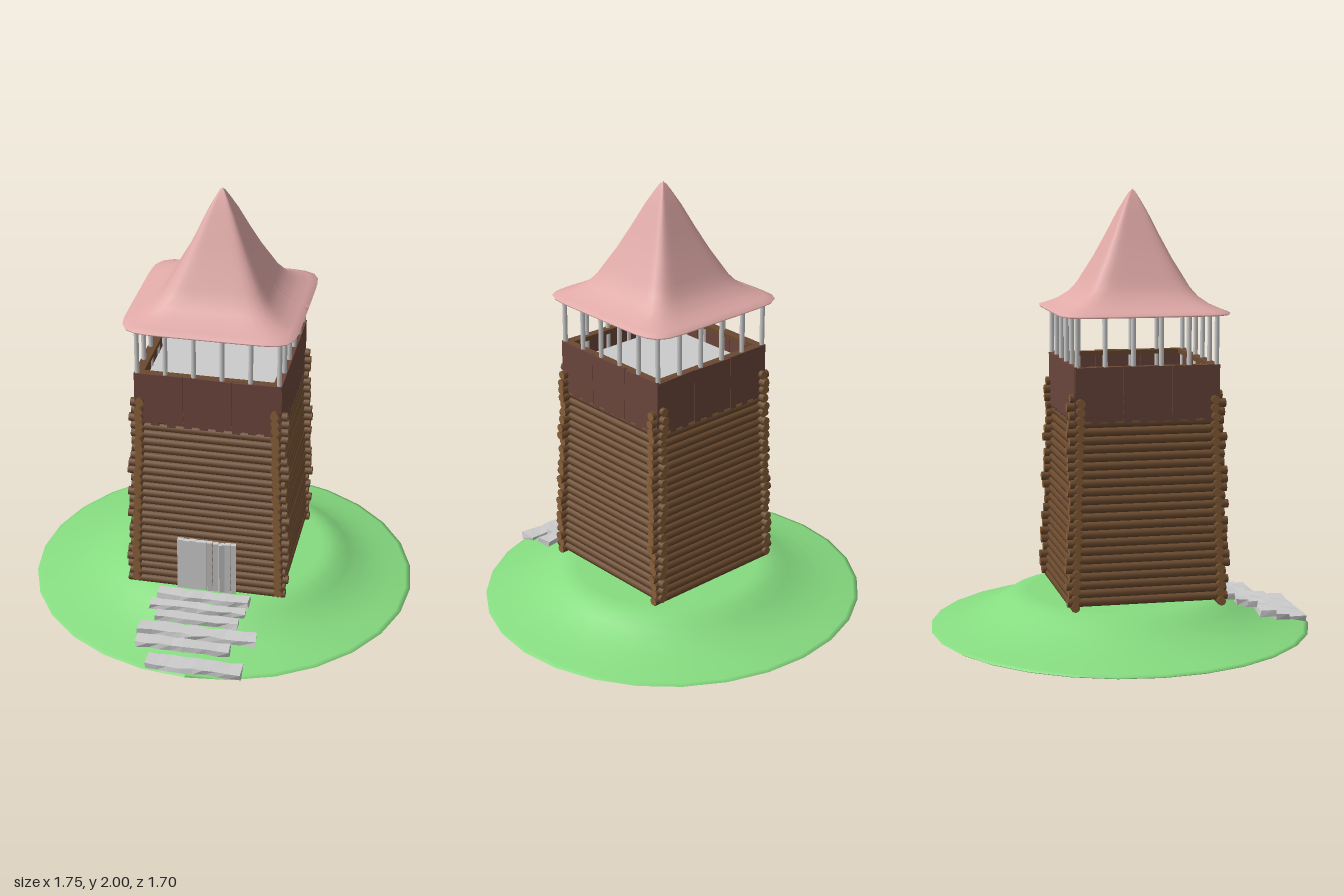
import * as THREE from 'three';

const mat = (color, extra = {}) => new THREE.MeshStandardMaterial({ color, ...extra });
const bark = mat(0x6b4a2e), cutEnd = mat(0x8a6038), plankMat = mat(0x6b463c);
const grey = mat(0xcccccc), greyFlat = mat(0xcccccc, { flatShading: true });
const roofMat = mat(0xdfa9a7, { side: THREE.DoubleSide });
const grass = mat(0x86dc80);

let seed = 7;
const rnd = () => (seed = (seed * 16807) % 2147483647) / 2147483647;
const jitter = a => (rnd() - 0.5) * 2 * a;

function add(parent, name, geo, material, x = 0, y = 0, z = 0) {
  const m = new THREE.Mesh(geo, material);
  m.name = name;
  m.position.set(x, y, z);
  parent.add(m);
  return m;
}

// Four copies of a wall, one per side
function fourSides(parent, name, build) {
  for (let s = 0; s < 4; s++) {
    const side = new THREE.Group();
    side.name = name;
    side.rotation.y = s * Math.PI / 2;
    build(side, s);
    parent.add(side);
  }
}

// Grassy mound with a flat top and a shallow dished underside
function makeHill(parent) {
  const profile = [[0, 0.003], [0.3, 0.008], [0.6, 0.022], [0.8, 0.036], [0.865, 0.043], [0.877, 0.05],
    [0.855, 0.056], [0.78, 0.072], [0.7, 0.093], [0.62, 0.122], [0.56, 0.155], [0.51, 0.182],
    [0.465, 0.196], [0.42, 0.2], [0, 0.2]].map(p => new THREE.Vector2(...p));
  const geo = new THREE.LatheGeometry(profile, 28);
  const p = geo.attributes.position;
  for (let i = 0; i < p.count; i++) {
    const t = Math.max(0, (p.getY(i) - 0.06) / 0.14);
    p.setX(i, p.getX(i) + 0.035 * t);
    p.setZ(i, p.getZ(i) * 0.972);
  }
  geo.computeVertexNormals();
  add(parent, 'hill', geo, grass);
}

// Interlocked log walls, leaning slightly inwards
function makeLogs(parent) {
  const pitch = 0.037, rows = 25;
  fourSides(parent, 'logWall', (side, s) => {
    for (let i = 0; i < rows; i++) {
      const y = 0.215 + i * pitch + (s % 2) * pitch / 2;
      const t = (y - 0.2) / 0.94;
      const half = 0.324 - 0.03 * t;
      const reach = half + 0.036 + 0.012 * t;
      const a = reach + jitter(0.01), b = reach + jitter(0.01);
      const geo = new THREE.CylinderGeometry(0.0195, 0.0195, a + b, 8);
      geo.rotateZ(Math.PI / 2);
      add(side, 'log', geo, [bark, cutEnd, cutEnd], (a - b) / 2, y, half + jitter(0.002));
    }
  });
}

// Wide boards around the lookout, with a ragged lower edge
function makeParapet(parent) {
  const half = 0.318, boards = 3, w = 2 * half / boards;
  fourSides(parent, 'parapet', side => {
    for (let b = 0; b < boards; b++) {
      const x0 = -half + b * w + 0.001, x1 = x0 + w - 0.002;
      const shape = new THREE.Shape();
      shape.moveTo(x0, 1.255 + jitter(0.003));
      const steps = 6;
      for (let k = 0; k < steps; k++) {
        const y = 1.005 + (k % 2) * 0.012 + rnd() * 0.006;
        shape.lineTo(x0 + (x1 - x0) * k / steps, y);
        shape.lineTo(x0 + (x1 - x0) * (k + 1) / steps, y);
      }
      shape.lineTo(x1, 1.255 + jitter(0.003));
      const geo = new THREE.ExtrudeGeometry(shape, { depth: 0.014, bevelEnabled: false });
      add(side, 'board', geo, plankMat, 0, 0, half - 0.012);
    }
    // rail, and five of the posts (the next side supplies the last corner)
    add(side, 'rail', new THREE.BoxGeometry(0.61, 0.02, 0.026), bark, 0, 1.245, half - 0.024);
    for (let k = 0; k < 5; k++)
      add(side, 'post', new THREE.CylinderGeometry(0.0105, 0.0105, 0.33, 8), grey,
        -0.307 + k * 0.1228, 1.315, 0.307);
  });
  add(parent, 'lookoutFloor', new THREE.BoxGeometry(0.6, 0.03, 0.6), grey, 0, 1.145, 0);
}

// Flared tent roof: rounded-square rings lofted to a point
function makeRoof(parent) {
  const rings = [[0.372, 1.468], [0.376, 1.476], [0.345, 1.488], [0.3, 1.508], [0.255, 1.54], [0.222, 1.58],
    [0.2, 1.62], [0.155, 1.7], [0.106, 1.8], [0.06, 1.9], [0.028, 1.96], [0.012, 1.988], [0.0005, 2]];
  const n = 64, pos = [], idx = [];
  rings.forEach(([r, y], j) => {
    for (let i = 0; i <= n; i++) {
      const a = i / n * Math.PI * 2, c = Math.cos(a), s = Math.sin(a);
      const e = 8;
      const k = r / Math.pow(Math.abs(c) ** e + Math.abs(s) ** e, 1 / e);
      pos.push(c * k, y, s * k);
      if (j && i < n) {
        const q = j * (n + 1) + i, p = q - n - 1;
        idx.push(p, q, p + 1, q, q + 1, p + 1);
      }
    }
  });
  const geo = new THREE.BufferGeometry();
  geo.setAttribute('position', new THREE.Float32BufferAttribute(pos, 3));
  geo.setIndex(idx);
  geo.computeVertexNormals();
  add(parent, 'roof', geo, roofMat);
}

// Double door: one flush leaf and one of uneven planks
function makeDoor(parent) {
  const door = new THREE.Group();
  door.name = 'door';
  door.position.z = 0.342;
  const n = 10, w = 0.266 / n;
  for (let i = 0; i < n; i++) {
    const h = 0.255 + jitter(0.004), uneven = i >= n / 2;
    const plank = add(door, 'doorPlank', new THREE.BoxGeometry(w - (uneven ? 0.002 : 0), h, 0.02), grey,
      -0.133 + (i + 0.5) * w, 0.2 + h / 2, uneven ? jitter(0.003) : 0);
    if (uneven) plank.rotation.y = 0.3 + jitter(0.2);
  }
  parent.add(door);
}

// Rough stone steps: x0, x1, z0, z1, top
function makeSteps(parent) {
  const steps = [[-0.21, 0.21, 0.425, 0.485, 0.208], [-0.23, 0.2, 0.49, 0.535, 0.184],
    [-0.19, 0.18, 0.535, 0.588, 0.163], [-0.26, 0.27, 0.59, 0.66, 0.134],
    [-0.25, 0.17, 0.66, 0.725, 0.112], [-0.185, 0.238, 0.75, 0.83, 0.08]];
  for (const [x0, x1, z0, z1, top] of steps) {
    const geo = new THREE.BoxGeometry(x1 - x0, 0.026, z1 - z0, 8, 1, 1);
    const p = geo.attributes.position, moved = new Map();
    for (let i = 0; i < p.count; i++) {
      const key = [p.getX(i), p.getY(i), p.getZ(i)].map(v => v.toFixed(4)).join();
      if (!moved.has(key)) moved.set(key, [jitter(0.006), jitter(0.003), jitter(0.006)]);
      const d = moved.get(key);
      p.setXYZ(i, p.getX(i) + d[0], p.getY(i) + d[1], p.getZ(i) + d[2]);
    }
    add(parent, 'step', geo, greyFlat, (x0 + x1) / 2, top - 0.013, (z0 + z1) / 2);
  }
}

export function createModel() {
  const model = new THREE.Group();
  model.name = 'watchtower';
  makeHill(model);
  makeSteps(model);
  const tower = new THREE.Group();
  tower.name = 'tower';
  tower.position.set(0.004, 0, 0.057);
  makeLogs(tower);
  makeDoor(tower);
  makeParapet(tower);
  makeRoof(tower);
  model.add(tower);
  return model;
}
